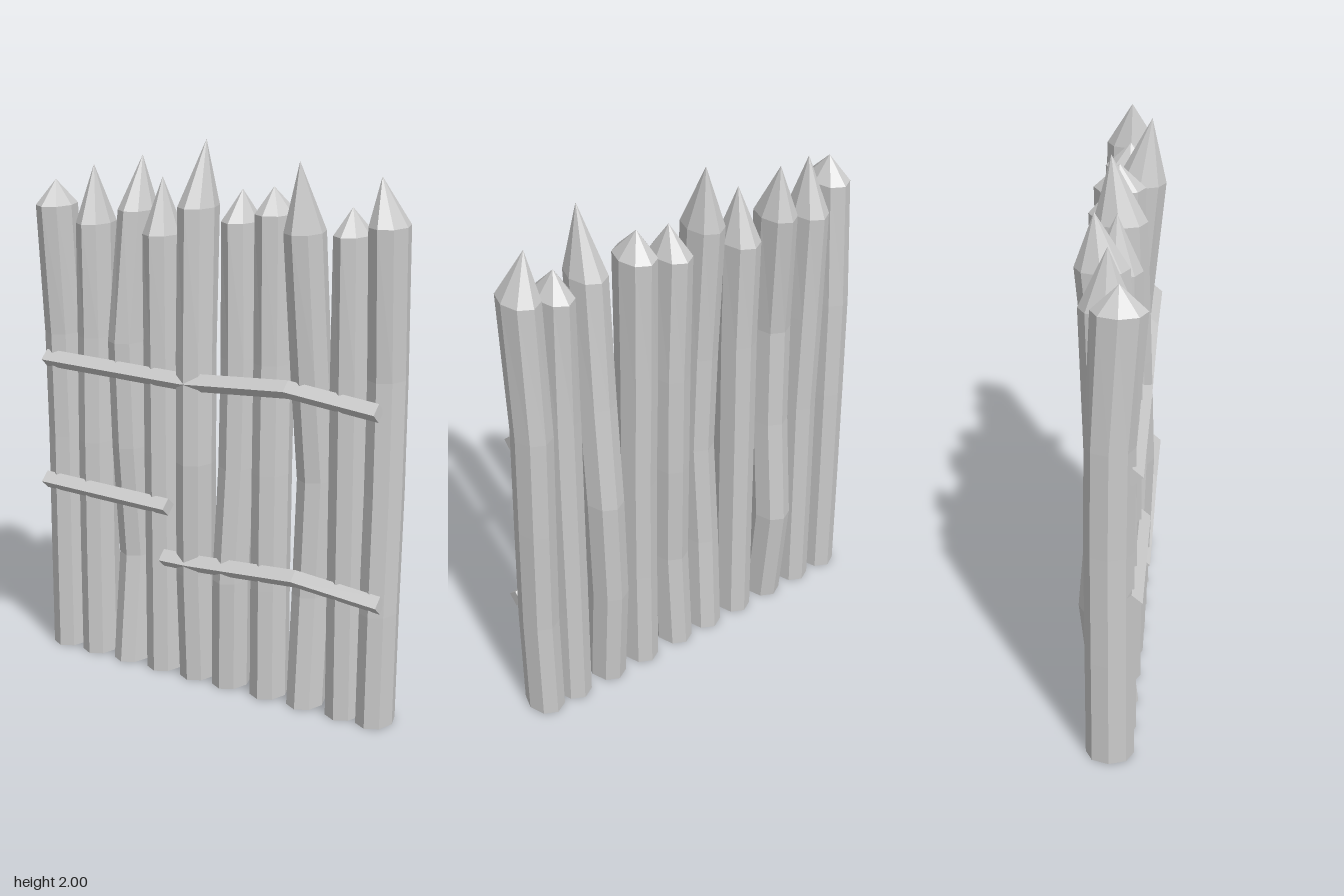
import * as THREE from 'three';

const material = new THREE.MeshStandardMaterial({ color: 0xcccccc, flatShading: true });

// Joins rings of points; a ring holding a single point closes that end.
function loft(rings, sides) {
  const pos = [];
  for (let i = 0; i < rings.length - 1; i++) {
    const a = rings[i], b = rings[i + 1];
    for (let j = 0; j < sides; j++) {
      const k = (j + 1) % sides;
      if (b.length > 1) pos.push(...a[j % a.length], ...b[j], ...b[k]);
      else pos.push(...a[j], ...b[0], ...a[k]);
      if (a.length > 1 && b.length > 1) pos.push(...a[j], ...b[k], ...a[k]);
    }
  }
  const geo = new THREE.BufferGeometry();
  geo.setAttribute('position', new THREE.Float32BufferAttribute(pos, 3));
  geo.computeVertexNormals();
  return geo;
}

const ring = (sides, point) => Array.from({ length: sides }, (_, j) => {
  const a = (j / sides) * Math.PI * 2;
  return point(Math.cos(a), Math.sin(a));
});

// Pointed log: x and z of the trunk at five heights, then the tip [x, y, z].
function logGeometry({ top, xs, zs, tip, r = 0.066 }) {
  const heights = [0, 0.42, 0.85, 1.25, top];
  const trunk = heights.map((y, i) => {
    const rx = i === 4 ? r : 0.067, rz = i === 4 ? 0.092 : 0.085;
    return ring(8, (c, s) => [xs[i] + rx * c, y, zs[i] + rz * s]);
  });
  return loft([[[xs[0], 0, zs[0]]], ...trunk, [tip]], 8);
}

// Crooked rail following [x, y] points along the front of the logs.
function railGeometry(path) {
  const z = 0.078;
  const body = path.map(([x, y]) => ring(4, (c, s) => [x, y + 0.033 * s, z + 0.037 * c]));
  const first = path[0], last = path[path.length - 1];
  return loft([[[...first, z]], ...body, [[...last, z]]], 4);
}

const LOGS = [
  { top: 1.73, xs: [-0.67, -0.67, -0.668, -0.67, -0.67], zs: [0, 0, 0, 0.005, 0.035], tip: [-0.672, 1.82, 0.035] },
  { top: 1.67, xs: [-0.53, -0.53, -0.528, -0.53, -0.53], zs: [0, 0, 0, -0.01, -0.015], tip: [-0.532, 1.88, -0.01], r: 0.063 },
  { top: 1.73, xs: [-0.38, -0.378, -0.38, -0.385, -0.36], zs: [0, -0.045, -0.01, 0, -0.04], tip: [-0.355, 1.92, -0.065], r: 0.063 },
  { top: 1.66, xs: [-0.227, -0.227, -0.228, -0.227, -0.227], zs: [0, 0, 0, 0, -0.005], tip: [-0.225, 1.86, 0] },
  { top: 1.77, xs: [-0.077, -0.077, -0.065, -0.07, -0.073], zs: [0, 0.02, 0.036, 0.025, 0.002], tip: [-0.06, 2, -0.03] },
  { top: 1.73, xs: [0.065, 0.075, 0.087, 0.09, 0.086], zs: [0, 0.012, -0.01, -0.02, -0.028], tip: [0.092, 1.84, -0.025], r: 0.063 },
  { top: 1.77, xs: [0.23, 0.23, 0.23, 0.228, 0.228], zs: [0, 0, -0.005, -0.015, -0.02], tip: [0.22, 1.86, -0.02] },
  { top: 1.73, xs: [0.385, 0.385, 0.397, 0.388, 0.38], zs: [0, -0.03, -0.035, 0.005, 0.045], tip: [0.38, 1.97, 0.085] },
  { top: 1.73, xs: [0.545, 0.543, 0.542, 0.54, 0.54], zs: [0, 0, 0, 0, 0], tip: [0.535, 1.82, 0], r: 0.061 },
  { top: 1.77, xs: [0.668, 0.672, 0.672, 0.668, 0.672], zs: [0, 0, -0.015, -0.025, -0.002], tip: [0.64, 1.93, 0] },
];

const RAILS = {
  upperRail: [[-0.7, 1.155], [-0.08, 1.15], [0.34, 1.185], [0.69, 1.155]],
  middleRail: [[-0.715, 0.675], [-0.16, 0.665]],
  lowerRail: [[-0.18, 0.465], [-0.06, 0.468], [0.38, 0.5], [0.715, 0.473]],
};

export function createModel() {
  const group = new THREE.Group();
  group.name = 'palisade';
  const add = (name, geo) => {
    const mesh = new THREE.Mesh(geo, material);
    mesh.name = name;
    group.add(mesh);
  };
  LOGS.forEach((spec, i) => add(`log${i + 1}`, logGeometry(spec)));
  for (const [name, path] of Object.entries(RAILS)) add(name, railGeometry(path));
  return group;
}
